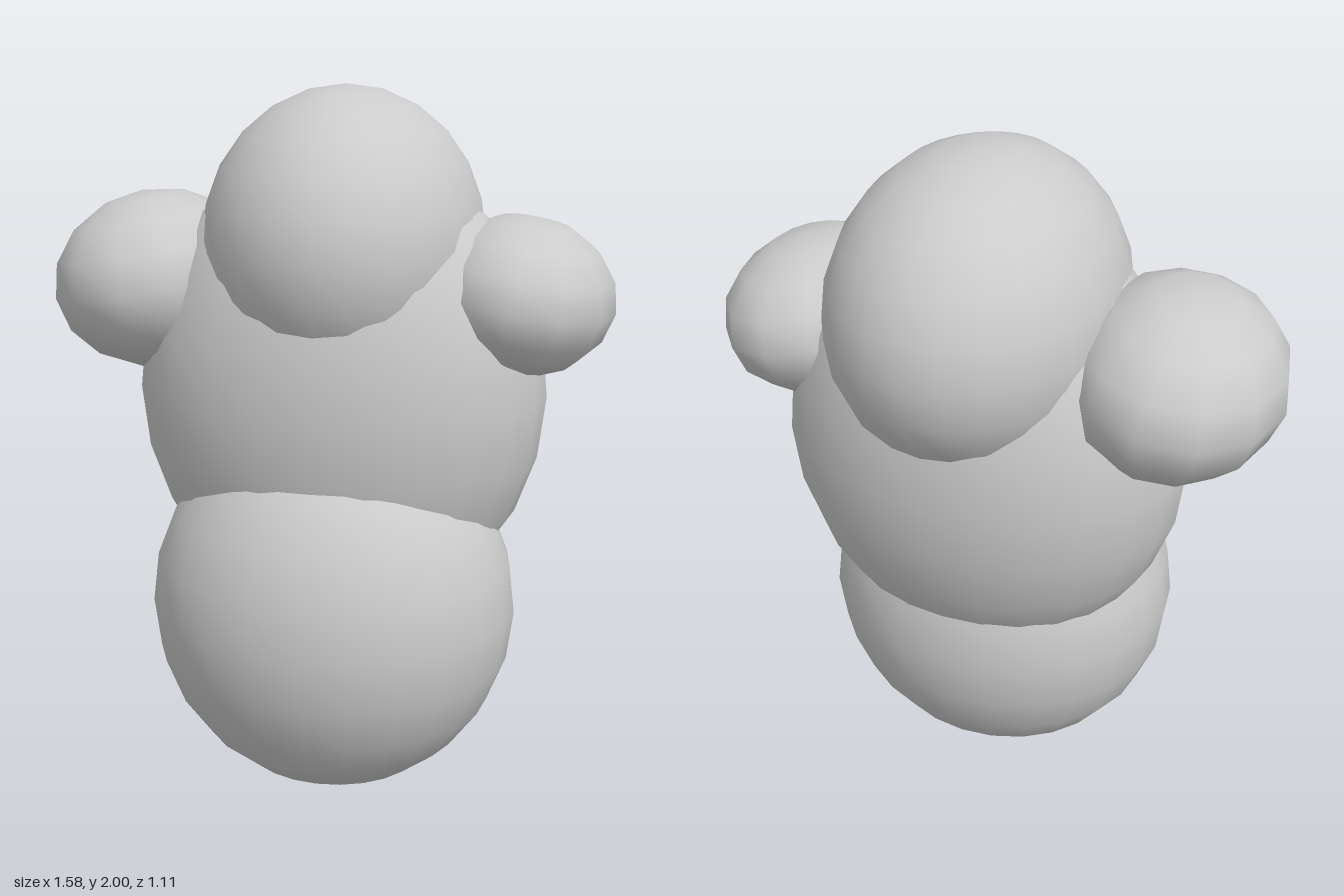
import * as THREE from 'three';

export function createModel() {
  const model = new THREE.Group();
  const material = new THREE.MeshStandardMaterial({ color: 0xcccccc });

  // Smooth ellipsoid with a given centre, radii, tilt and number of sides
  function blob(name, centre, radii, sides, rings, tilt = 0) {
    const mesh = new THREE.Mesh(new THREE.SphereGeometry(1, sides, rings), material);
    mesh.name = name;
    mesh.position.set(...centre);
    mesh.scale.set(...radii);
    mesh.rotation.z = tilt;
    model.add(mesh);
  }

  // Stacked body
  blob('lowerBody', [0.033, 0.555, 0.09], [0.523, 0.552, 0.465], 24, 12);
  blob('torso', [0.033, 1.16, -0.025], [0.582, 0.68, 0.437], 24, 12);
  blob('head', [0.035, 1.57, -0.058], [0.393, 0.43, 0.493], 24, 12);

  // Shoulder lumps, drooping slightly outwards; the right one is larger
  blob('rightShoulder', [-0.505, 1.455, -0.03], [0.292, 0.252, 0.347], 12, 8, 0.17);
  blob('leftShoulder', [0.53, 1.443, -0.03], [0.264, 0.218, 0.32], 12, 8, -0.17);

  return model;
}
